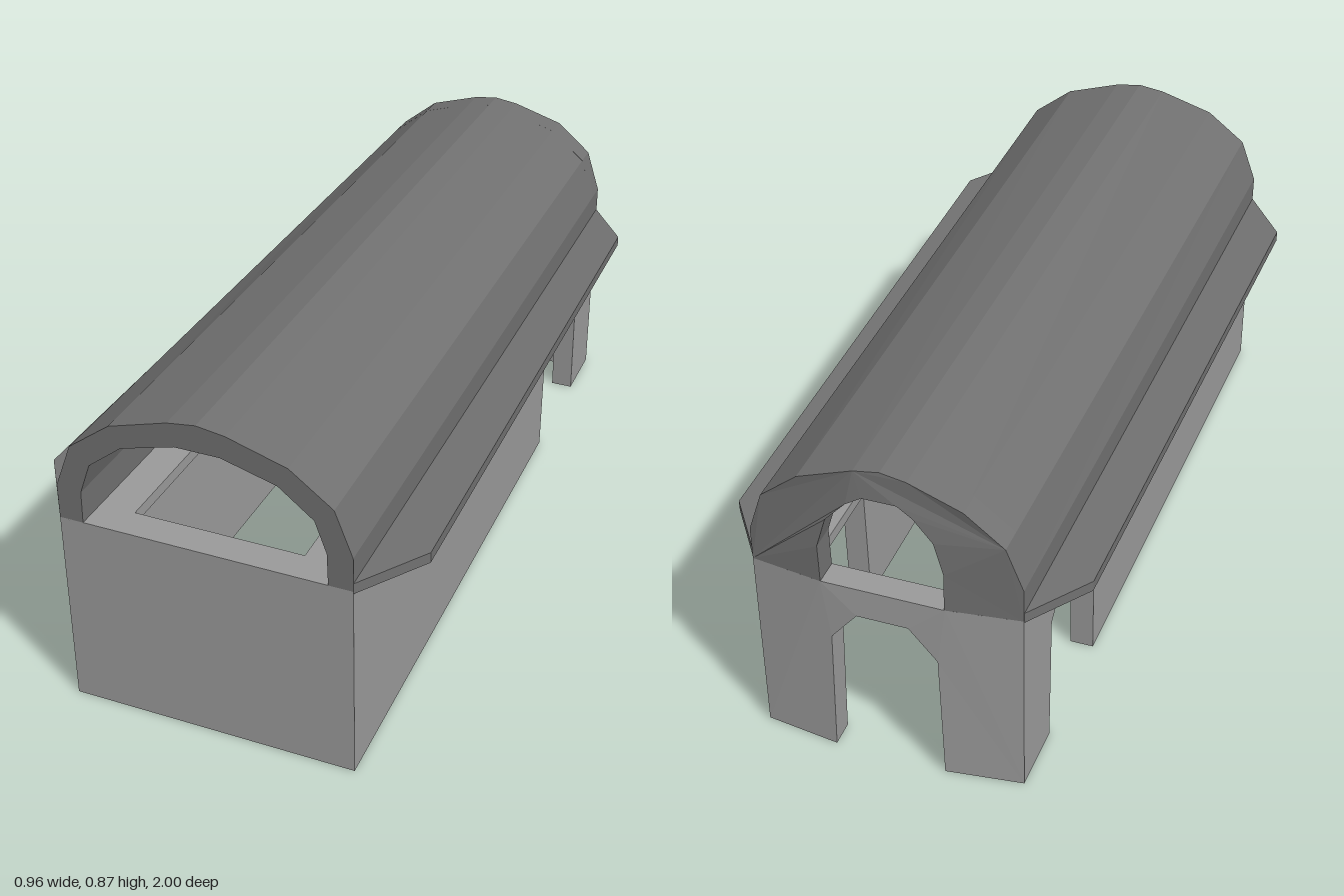
import * as THREE from 'three';

const wallMat = new THREE.MeshStandardMaterial({ color: 0x999999 });
wallMat.name = 'light stone';
const roofMat = new THREE.MeshStandardMaterial({ color: 0x707070 });
roofMat.name = 'dark roof';

const HALF = 0.365, TOP = 0.525, PEAK = 0.865, THICK = 0.065, BACK = -0.975;

// Mirror a right-hand half profile (bottom to top) into a full outline
const mirrored = (half) => [...half, ...half.filter(p => p[0] > 0).reverse().map(([x, y]) => [-x, y])];
const shapeOf = (pts) => new THREE.Shape(pts.map(([x, y]) => new THREE.Vector2(x, y)));
const extrude = (shape, depth) => new THREE.ExtrudeGeometry(shape, { depth, bevelEnabled: false });

// Narrow and lower the building slightly towards the back; optionally bow the rear face
function taper(geo, bowed = false) {
  const p = geo.attributes.position;
  for (let i = 0; i < p.count; i++) {
    const x = p.getX(i), y = p.getY(i), z = p.getZ(i);
    const t = THREE.MathUtils.clamp((z + 1) / 2, 0, 1);
    if (bowed) {
      const r = Math.min(1, Math.max(Math.abs(x) / HALF, (y - TOP) / (PEAK - TOP)));
      p.setZ(i, z - 0.03 * (1 - r * r));
    }
    p.setXYZ(i, x * (0.905 + 0.095 * t), y * (0.967 + 0.033 * t), p.getZ(i));
  }
  geo.computeVertexNormals();
  return geo;
}

export function createModel() {
  const group = new THREE.Group();
  const add = (name, geo, mat, bowed) => {
    const mesh = new THREE.Mesh(taper(geo, bowed), mat);
    mesh.name = name;
    group.add(mesh);
  };

  // Side walls with a chamfered doorway near the back
  const side = [[BACK, 0], [-0.80, 0], [-0.79, 0.362], [-0.69, 0.452], [-0.58, 0.452], [-0.48, 0.362],
    [-0.47, 0], [1, 0], [1, TOP], [BACK, TOP]];
  for (const [name, x] of [['leftWall', HALF], ['rightWall', THICK - HALF]]) {
    add(name, extrude(shapeOf(side), THICK).rotateY(-Math.PI / 2).translate(x, 0, 0), wallMat);
  }

  // Solid front wall
  const inner = HALF - THICK;
  add('frontWall', new THREE.BoxGeometry(inner * 2, TOP, 0.08).toNonIndexed().translate(0, TOP / 2, 0.96), wallMat);

  // Back wall with a doorway
  const rear = [[-HALF, 0], [-0.155, 0], [-0.145, 0.36], [-0.07, 0.447], [0.07, 0.447], [0.145, 0.36], [0.155, 0],
    [HALF, 0], [HALF, TOP], [0.168, TOP], [-0.168, TOP], [-HALF, TOP]];
  add('backWall', extrude(shapeOf(rear), THICK).translate(0, 0, BACK), wallMat, true);

  // Vaulted roof shell, open at the front
  const outerArch = mirrored([[HALF, TOP], [HALF, 0.615], [0.322, 0.73], [0.217, 0.81], [0.07, 0.855], [0, PEAK]]);
  const innerArch = mirrored([[0.305, TOP], [0.303, 0.61], [0.275, 0.69], [0.19, 0.758], [0.055, 0.796]]);
  add('vaultedRoof', extrude(shapeOf([...outerArch, ...innerArch.slice().reverse()]), 1 - BACK - 0.005)
    .translate(0, 0, BACK + 0.005), roofMat);

  // Rear gable with an arched window
  const windowArch = mirrored([[0.166, TOP], [0.168, 0.63], [0.142, 0.713], [0.088, 0.766], [0.046, 0.79]]);
  add('rearGable', extrude(shapeOf([...outerArch, ...windowArch.slice().reverse()]), THICK)
    .translate(0, 0, BACK), roofMat, true);

  for (const [name, s] of [['left', 1], ['right', -1]]) {
    // Eave plate with clipped corners
    const eave = [[0.34, 1], [HALF, 1], [0.484, 0.83], [0.484, -0.82], [HALF, -0.972], [0.34, -0.972]];
    add(name + 'Eave', extrude(shapeOf(eave.map(([x, z]) => [x * s, z])), 0.028)
      .rotateX(Math.PI / 2).translate(0, 0.547, 0), roofMat);
    // Inner ledge along the wall top
    add(name + 'Ledge', new THREE.BoxGeometry(0.085, 0.03, 1.84).toNonIndexed()
      .translate(s * 0.2575, TOP - 0.015, 0), wallMat);
  }
  return group;
}
